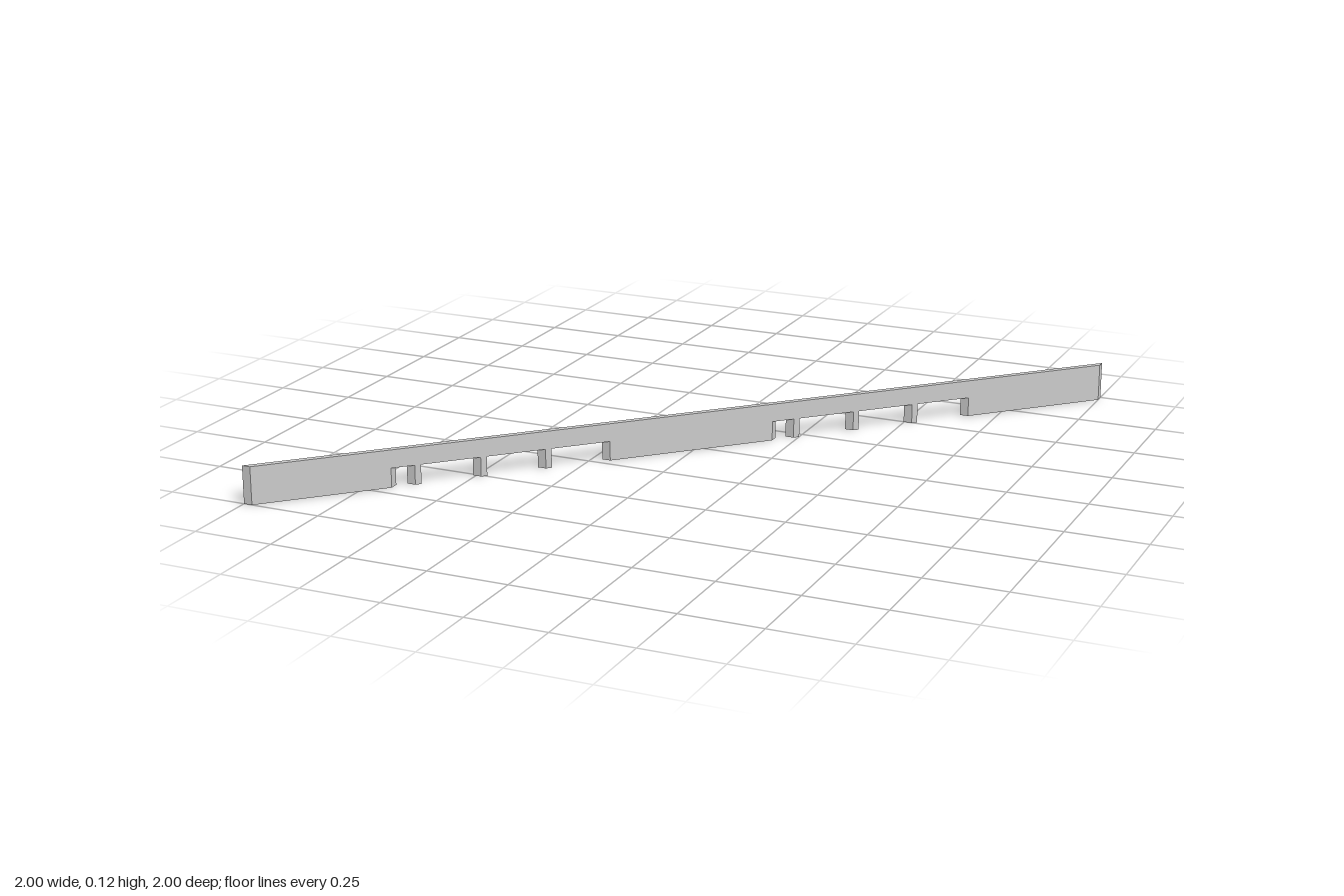
import * as THREE from 'three';

const HEIGHT = 0.118, OPENING = 0.061, THICK = 0.027;
const POST_WIDTH = 0.0135, POST_STEP = 0.144;

// Lays a flat panel (x along, depth 0 to 1) on the diagonal from (-1, 1) to (1, -1).
// Its ends stay square to the x and z axes: front corners slide along x or along z.
function layDiagonal(geometry, slidesAlongX) {
  const p = geometry.attributes.position;
  for (let i = 0; i < p.count; i++) {
    const u = p.getX(i), shift = p.getZ(i) * THICK;
    if (slidesAlongX(u)) p.setXYZ(i, u + shift, p.getY(i), -u);
    else p.setXYZ(i, u, p.getY(i), shift - u);
  }
  geometry.computeVertexNormals();
  return geometry;
}

export function createModel() {
  const group = new THREE.Group();
  group.name = 'diagonalWall';
  const material = new THREE.MeshStandardMaterial({ color: 0xcccccc, flatShading: true });

  // two openings cut from the bottom edge: [start, end]
  const openings = [[-0.677, -0.219], [0.186, 0.639]];

  // wall panel
  const shape = new THREE.Shape();
  shape.moveTo(-1, 0);
  for (const [a, b] of openings) {
    shape.lineTo(a, 0);
    shape.lineTo(a, OPENING);
    shape.lineTo(b, OPENING);
    shape.lineTo(b, 0);
  }
  shape.lineTo(1, 0);
  shape.lineTo(1, HEIGHT);
  shape.lineTo(-1, HEIGHT);
  shape.closePath();
  const frontFacingEnds = [-1, openings[0][1], openings[1][1]];
  const wall = new THREE.Mesh(layDiagonal(
    new THREE.ExtrudeGeometry(shape, { depth: 1, bevelEnabled: false }),
    (u) => frontFacingEnds.some((e) => Math.abs(e - u) < 1e-4)), material);
  wall.name = 'wall';
  group.add(wall);

  // three slim posts in each opening, their sides square to the z axis
  openings.forEach(([a], o) => {
    for (let i = 0; i < 3; i++) {
      const geometry = new THREE.BoxGeometry(POST_WIDTH, OPENING, 1);
      geometry.translate(a + 0.031 + i * POST_STEP, OPENING / 2, 0.5);
      const post = new THREE.Mesh(layDiagonal(geometry, () => true), material);
      post.name = `post${o * 3 + i + 1}`;
      group.add(post);
    }
  });

  return group;
}
